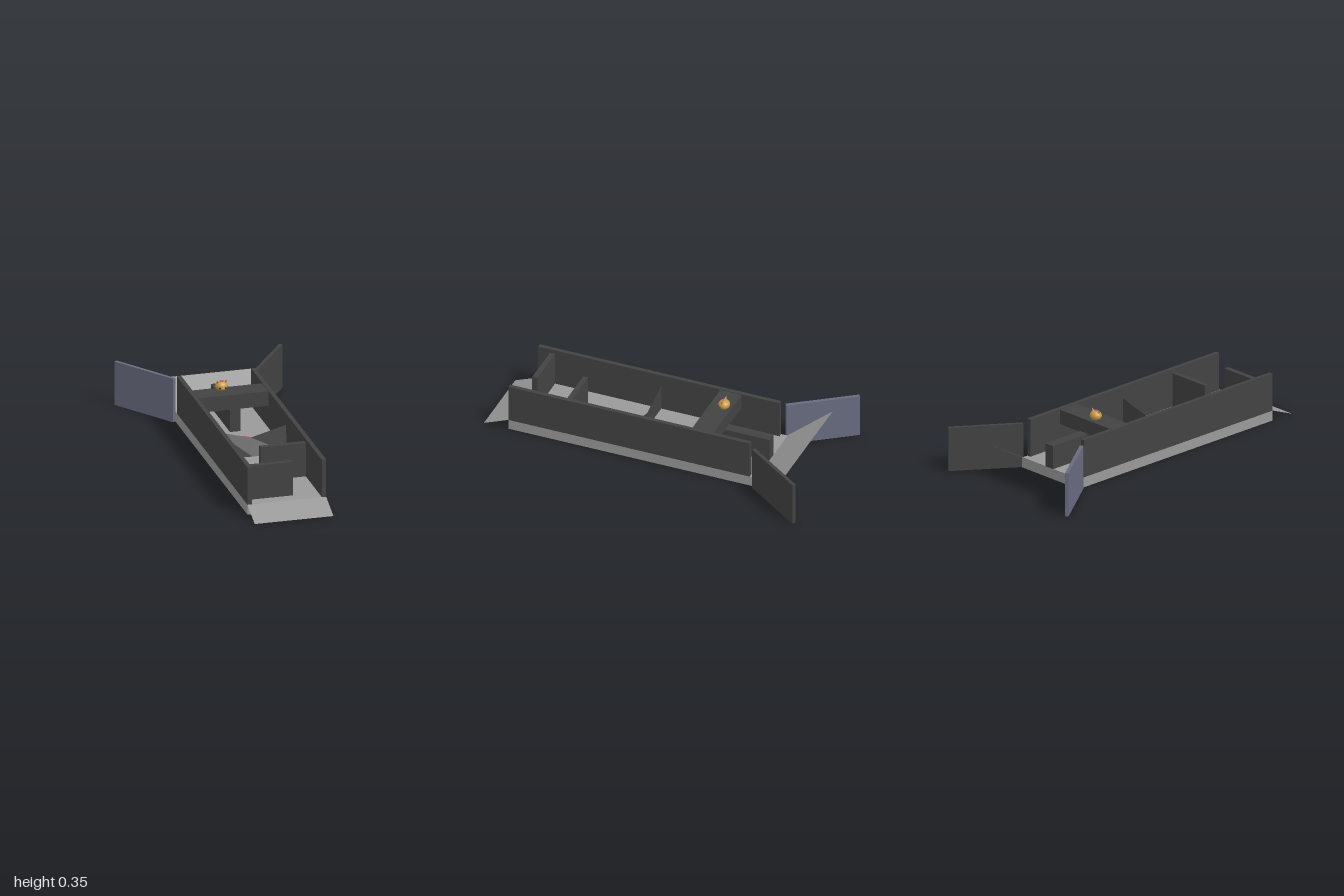
import * as THREE from 'three';

export function createModel() {
  const model = new THREE.Group();
  const mat = (name, color) => {
    const m = new THREE.MeshStandardMaterial({ color });
    m.name = name;
    return m;
  };
  const lightGrey = mat('light grey', 0x999999);
  lightGrey.side = THREE.DoubleSide;
  const darkGrey = mat('dark grey', 0x424242);
  const slate = mat('slate blue', 0x696c80);
  const pink = mat('pink', 0xc0478f);
  const gold = mat('golden fur', 0xc89a4a);
  const brown = mat('brown', 0x6b4a2c);
  const black = mat('black', 0x1c1a1c);

  const add = (name, geo, material, parent = model) => {
    const m = new THREE.Mesh(geo, material);
    m.name = name;
    parent.add(m);
    return m;
  };
  // Box given by its limits on each axis
  const box = (name, material, x0, x1, y0, y1, z0, z1) => {
    const m = add(name, new THREE.BoxGeometry(x1 - x0, y1 - y0, z1 - z0), material);
    m.position.set((x0 + x1) / 2, (y0 + y1) / 2, (z0 + z1) / 2);
    return m;
  };
  const poly = (points, index) => {
    const g = new THREE.BufferGeometry();
    g.setAttribute('position', new THREE.Float32BufferAttribute(points.flat(), 3));
    g.setIndex(index);
    const flat = g.toNonIndexed();
    flat.computeVertexNormals();
    return flat;
  };

  // Lane floor with a side wall on each edge
  box('floor', lightGrey, -0.23, 0.23, 0, 0.06, -0.66, 0.85);
  box('leftWall', darkGrey, 0.205, 0.23, 0.06, 0.285, -0.62, 0.85);
  box('rightWall', darkGrey, -0.23, -0.205, 0.06, 0.285, -0.62, 0.85);

  // Thin ramps: the front one drops to the ground, the back one flares and rises
  const ramp = (name, w0, y0, z0, w1, y1, z1) => add(name,
    poly([[-w0, y0, z0], [w0, y0, z0], [w1, y1, z1], [-w1, y1, z1]],
      z1 > z0 ? [0, 2, 1, 0, 3, 2] : [0, 1, 2, 0, 2, 3]), lightGrey);
  ramp('frontRamp', 0.23, 0.06, 0.85, 0.23, 0, 1.0);
  ramp('backRamp', 0.24, 0.06, -0.66, 0.39, 0.183, -0.87);

  // Splayed wing panels at the back
  for (const [name, s, material] of [['leftWing', 1, darkGrey], ['rightWing', -1, slate]]) {
    const wing = add(name, new THREE.BoxGeometry(0.02, 0.262, 0.425), material);
    wing.position.set(s * 0.36, 0.131, -0.82);
    wing.rotation.y = -s * THREE.MathUtils.degToRad(35);
  }

  // Obstacles along the lane
  box('frontBaffle', darkGrey, -0.205, 0.055, 0.06, 0.262, 0.747, 0.778);
  box('middleBaffle', darkGrey, -0.06, 0.205, 0.06, 0.262, 0.485, 0.515);
  box('crossBeam', darkGrey, -0.205, 0.205, 0.195, 0.282, -0.39, -0.26);
  box('divider', darkGrey, -0.02, 0.04, 0.06, 0.2, -0.66, -0.26);

  // Notched wedge: a leaning front that bulges at the centre
  const stations = [[-0.205, 0.215, 0.125], [0, 0.16, 0.14], [0.205, 0.215, 0.125]];
  const pts = stations.flatMap(([x, top, z]) => [[x, 0.06, 0.1], [x, 0.06, z], [x, top, 0.1]]);
  const idx = [0, 1, 2, 6, 8, 7];
  for (const a of [0, 3]) {
    for (let i = 0; i < 3; i++) {
      const p = a + i, q = a + (i + 1) % 3;
      idx.push(p, p + 3, q, q, p + 3, q + 3);
    }
  }
  add('notchedWedge', poly(pts, idx), darkGrey);

  // Target disc lying on the floor
  const disc = add('targetDisc', new THREE.CylinderGeometry(0.067, 0.067, 0.004, 40), pink);
  disc.position.set(0.01, 0.062, -0.11);

  // Little cat head on the beam
  const cat = new THREE.Group();
  cat.name = 'catHead';
  cat.position.set(-0.045, 0.309, -0.35);
  model.add(cat);
  const ball = (name, material, x, y, z, rx, ry = rx, rz = rx) => {
    const m = add(name, new THREE.SphereGeometry(1, 24, 16), material, cat);
    m.position.set(x, y, z);
    m.scale.set(rx, ry, rz);
    return m;
  };
  ball('head', gold, 0, 0, 0, 0.036, 0.028, 0.033);
  ball('muzzle', gold, 0, -0.009, 0.029, 0.011, 0.008, 0.008);
  ball('nose', pink, 0, -0.006, 0.037, 0.004, 0.003, 0.003);
  ball('bowKnot', pink, 0, 0.03, 0.004, 0.004);
  for (const s of [-1, 1]) {
    ball('eye', black, s * 0.016, -0.005, 0.028, 0.006, 0.006, 0.004);
    ball('bowLoop', pink, s * 0.007, 0.03, 0.004, 0.006, 0.005, 0.004);
    ball('cheekMark', brown, s * 0.032, -0.004, 0.011, 0.004, 0.003, 0.006);
    const ear = add('ear', new THREE.ConeGeometry(0.011, 0.024, 16), gold, cat);
    ear.position.set(s * 0.025, 0.028, 0);
    ear.rotation.z = -s * 0.35;
    ear.scale.z = 0.6;
    const inner = add('innerEar', new THREE.ConeGeometry(0.006, 0.015, 12), brown, cat);
    inner.position.set(s * 0.025, 0.027, 0.004);
    inner.rotation.z = -s * 0.35;
    inner.scale.z = 0.6;
  }
  return model;
}
